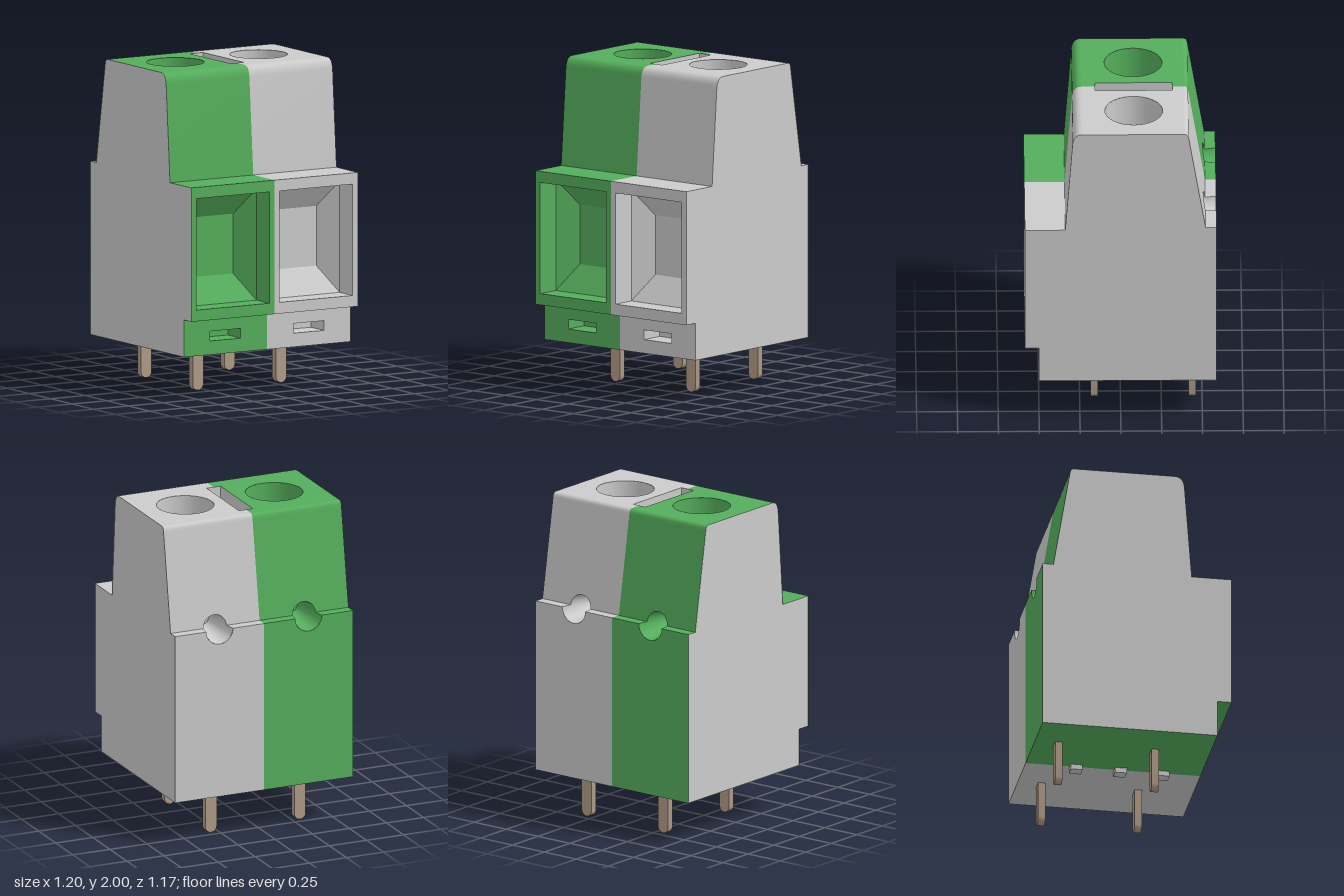
import * as THREE from 'three';
import { toCreasedNormals } from 'three/addons/utils/BufferGeometryUtils.js';

const V = (x, y, z) => new THREE.Vector3(x, y, z);
const X = V(1, 0, 0), Y = V(0, 1, 0), Z = V(0, 0, 1);
const NX = V(-1, 0, 0), NZ = V(0, 0, -1);
const material = (color) => new THREE.MeshStandardMaterial({ color, side: THREE.DoubleSide });
const shapeOf = (pts) => new THREE.Shape(pts.map(([x, y]) => new THREE.Vector2(x, y)));
const rect = (w, h, cx = 0, cy = 0) => [
  [cx - w / 2, cy - h / 2], [cx + w / 2, cy - h / 2], [cx + w / 2, cy + h / 2], [cx - w / 2, cy + h / 2]];

function addMesh(parent, name, geometry, mat) {
  const mesh = new THREE.Mesh(geometry, mat);
  mesh.name = name;
  parent.add(mesh);
  return mesh;
}

// Lays a flat geometry on the plane through origin with axes u and v
function place(geometry, origin, u, v) {
  const m = new THREE.Matrix4().makeBasis(u, v, u.clone().cross(v)).setPosition(origin);
  return geometry.applyMatrix4(m);
}

// Surface through a list of equally long rows of points
function loft(rows, crease = 0.5) {
  const pos = rows.flat().flatMap((p) => [p.x, p.y, p.z]);
  const n = rows[0].length, index = [];
  for (let i = 0; i < rows.length - 1; i++) {
    for (let j = 0; j < n - 1; j++) {
      const a = i * n + j, b = a + n;
      index.push(a, a + 1, b + 1, a, b + 1, b);
    }
  }
  const g = new THREE.BufferGeometry();
  g.setAttribute('position', new THREE.Float32BufferAttribute(pos, 3));
  g.setIndex(index);
  return toCreasedNormals(g, crease);
}

// Rectangular recess: sections are [width, height, depth], last one gets a floor
function recess(parent, name, sections, mat, origin, u, v) {
  const group = new THREE.Group();
  group.name = name;
  parent.add(group);
  const rows = sections.map(([w, h, d]) => {
    const r = rect(w, h).map(([x, y]) => V(x, y, -d));
    return [...r, r[0].clone()];
  });
  addMesh(group, name + 'Walls', place(loft(rows, 0.1), origin, u, v), mat);
  const [w, h, d] = sections.at(-1);
  const floor = new THREE.PlaneGeometry(w, h).translate(0, 0, -d);
  addMesh(group, name + 'Floor', place(floor, origin, u, v), mat);
}

// Side profile as [z, y]
const frontFillet = new THREE.QuadraticBezierCurve(
  new THREE.Vector2(0.295, 1.93), new THREE.Vector2(0.288, 2), new THREE.Vector2(0.235, 2))
  .getPoints(8).map((p) => [p.x, p.y]);
const rearFillet = new THREE.QuadraticBezierCurve(
  new THREE.Vector2(-0.39, 2), new THREE.Vector2(-0.413, 2), new THREE.Vector2(-0.417, 1.97))
  .getPoints(6).map((p) => [p.x, p.y]);
const frontSlope = [[0.34, 1.33], ...frontFillet];
const profile = [[0.5, 0.27], [0.5, 0.5], [0.587, 0.5], [0.587, 1.33], ...frontSlope,
  ...rearFillet, [-0.52, 1.345], [-0.587, 1.345], [-0.587, 0.27]];

function createPole(s, mat, capMat) {
  const pole = new THREE.Group();
  pole.name = s > 0 ? 'leftPole' : 'rightPole';
  const cx = 0.3 * s;
  const panel = (name, shape, origin, u, v) =>
    addMesh(pole, name, place(new THREE.ShapeGeometry(shape, 32), origin, u, v), mat);
  const strip = (name, pts) => addMesh(pole, name,
    loft(pts.map(([z, y]) => [V(cx - 0.3, y, z), V(cx + 0.3, y, z)])), mat);

  // Front face with wire entry funnel
  const front = shapeOf(rect(0.6, 0.83));
  front.holes.push(shapeOf(rect(0.525, 0.69)));
  panel('frontFace', front, V(cx, 0.915, 0.587), X, Y);
  recess(pole, 'wireEntry', [[0.525, 0.69, 0], [0.525, 0.69, 0.15], [0.325, 0.37, 0.26]],
    mat, V(cx, 0.915, 0.587), X, Y);

  // Stepped-back foot with small slot
  const foot = shapeOf(rect(0.6, 0.23));
  foot.holes.push(shapeOf(rect(0.22, 0.06)));
  panel('footFace', foot, V(cx, 0.385, 0.5), X, Y);
  recess(pole, 'footSlot', [[0.22, 0.06, 0], [0.22, 0.06, 0.15]], mat, V(cx, 0.385, 0.5), X, Y);
  strip('stepUnderside', [[0.5, 0.5], [0.587, 0.5]]);
  strip('frontLedge', [[0.587, 1.33], [0.34, 1.33]]);
  strip('frontSlope', frontSlope);
  strip('rearFillet', rearFillet);
  strip('bottomFace', [[-0.587, 0.27], [0.5, 0.27]]);

  // Top face with screw bore and half of the centre slot
  const top = shapeOf([[-0.3, -0.235], [0.3, -0.235], [0.3, 0.39], [-0.3, 0.39],
    [-0.3, 0.32], [-0.253, 0.32], [-0.253, -0.152], [-0.3, -0.152]].map(([x, y]) => [x * s, y]));
  top.holes.push(new THREE.Path().absarc(0, 0.082, 0.177, 0, Math.PI * 2));
  panel('topFace', top, V(cx, 2, 0), X, NZ);
  const bore = new THREE.CylinderGeometry(0.177, 0.177, 0.6, 32, 1, true);
  addMesh(pole, 'screwBore', bore, mat).position.set(cx, 1.7, -0.082);
  const floor = new THREE.CircleGeometry(0.177, 32).rotateX(-Math.PI / 2);
  addMesh(pole, 'screwBoreFloor', floor, mat).position.set(cx, 1.4, -0.082);

  // Back wall, ledge and slope, cut by a tapered test hole
  const back = shapeOf([[-0.3, 0], [-0.3, -1.075], [0.3, -1.075], [0.3, 0]]);
  back.absarc(0, 0, 0.09, 0, Math.PI, true);
  panel('backFace', back, V(cx, 1.345, -0.587), NX, Y);
  for (const side of [-1, 1]) {
    const ledge = [[0.09, 0], [0.3, 0], [0.3, -0.067], [0.078, -0.067]];
    panel('rearLedge', shapeOf(ledge.map(([x, y]) => [x * side, y])), V(cx, 1.345, -0.587), X, NZ);
  }
  const k = 0.165, slopeDir = V(0, 1, k).normalize();
  const slopeRadius = (a) => 0.078 / (1 + 0.18 * k * Math.sin(a));
  const angles = Array.from({ length: 17 }, (_, i) => Math.PI * (1 - i / 16));
  const length = 0.625 / slopeDir.y;
  const slope = [[0.3, 0], [0.3, length], [-0.3, length], [-0.3, 0], ...angles.map((a) =>
    [slopeRadius(a) * Math.cos(a), slopeRadius(a) * Math.sin(a) / slopeDir.y])];
  panel('rearSlope', shapeOf(slope), V(cx, 1.345, -0.52), NX, slopeDir);

  const ring = (dir, radius, zAt) => angles.map((a) => {
    const r = radius(a);
    return V(cx + r * Math.cos(a), 1.345 + dir * r * Math.sin(a), zAt(r * Math.sin(a)));
  });
  for (const dir of [1, -1]) {
    const mouth = dir > 0 ? ring(1, slopeRadius, (y) => -0.52 + k * y)
      : ring(-1, () => 0.09, () => -0.587);
    addMesh(pole, 'testHole', loft([mouth, ring(dir, () => 0.044, () => -0.33)]), mat);
  }
  const holeEnd = new THREE.CircleGeometry(0.044, 24).rotateY(Math.PI);
  addMesh(pole, 'testHoleEnd', holeEnd, mat).position.set(cx, 1.345, -0.33);

  // Outer side wall
  const cap = new THREE.ShapeGeometry(shapeOf(profile.map(([z, y]) => [-z * s, y])));
  addMesh(pole, 'sideWall', place(cap, V(0.597 * s, 0, 0), s > 0 ? NZ : Z, Y), capMat);
  return pole;
}

export function createModel() {
  const model = new THREE.Group();
  model.name = 'terminalBlock';
  const grey = material(0xcccccc), green = material(0x55ae5c), metal = material(0xb09c88);
  model.add(createPole(1, grey, grey), createPole(-1, green, grey));

  // Slot shared by both poles
  recess(model, 'centreSlot', [[0.094, 0.472, 0], [0.094, 0.472, 0.3]], grey, V(0, 2, -0.084), X, NZ);

  // Stand-off nubs under the seam
  for (const z of [0.265, 0, -0.275]) {
    addMesh(model, 'standoff', new THREE.BoxGeometry(0.07, 0.05, 0.074), grey).position.set(0, 0.263, z);
  }

  // Solder pins with rounded tips
  const pinShape = new THREE.Shape();
  pinShape.moveTo(0.038, 0.3).lineTo(-0.038, 0.3).lineTo(-0.038, 0.038);
  pinShape.absarc(0, 0.038, 0.038, Math.PI, Math.PI * 2);
  const pin = toCreasedNormals(new THREE.ExtrudeGeometry(pinShape,
    { depth: 0.045, bevelEnabled: false, curveSegments: 12 }).translate(0, 0, -0.0225), 0.6);
  for (const x of [-0.3, 0.3]) {
    for (const z of [0.16, -0.44]) addMesh(model, 'solderPin', pin, metal).position.set(x, 0, z);
  }
  return model;
}
